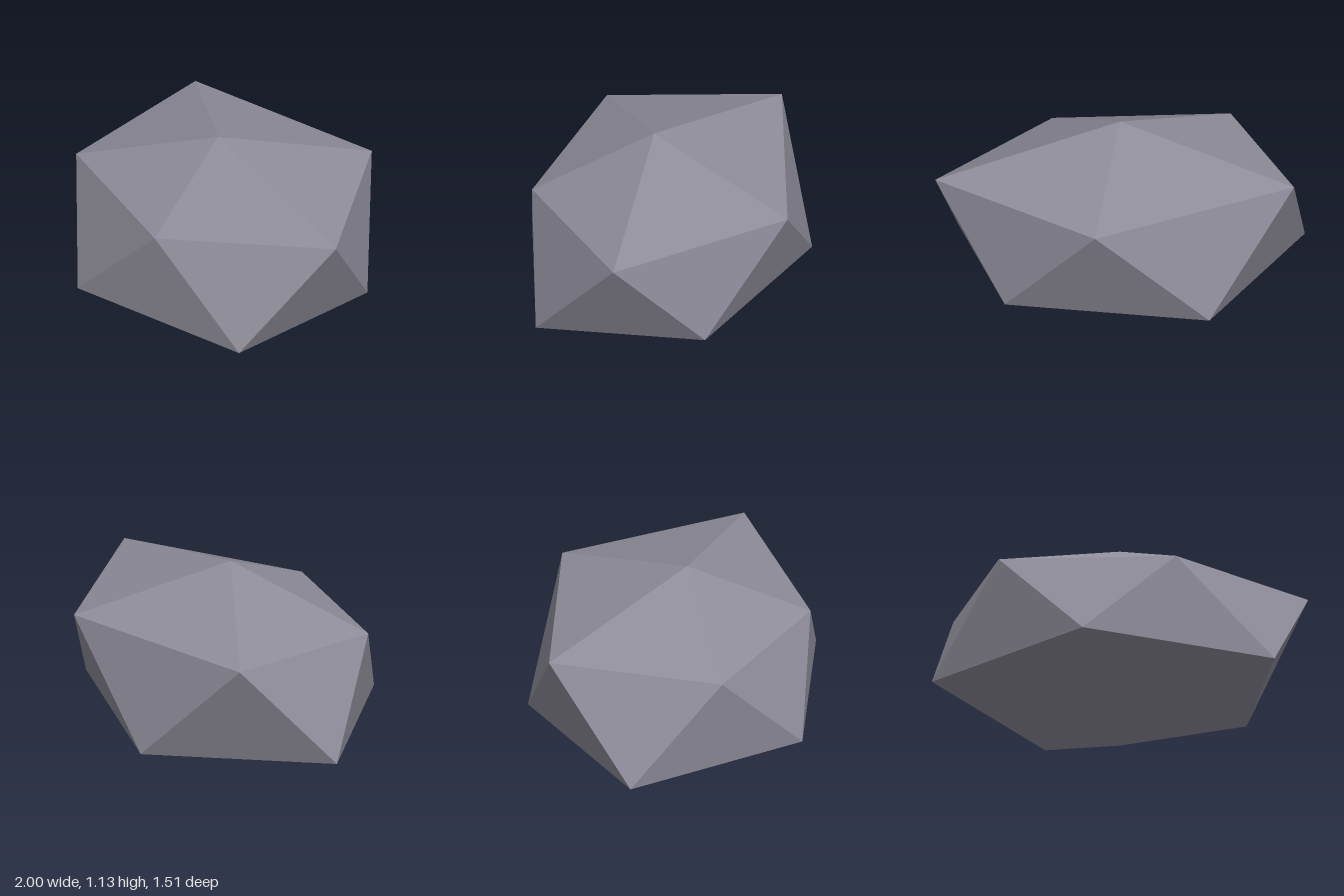
import * as THREE from 'three';

export function createModel() {
  const stone = new THREE.MeshStandardMaterial({ color: 0x8f8d9a, flatShading: true });
  stone.name = 'stone grey';

  // Two staggered rings of five corners, closed by a top and a bottom point
  const top = [0, 1.13, 0.03];
  const bottom = [0, 0, 0.03];
  const upper = [[-0.69, 0.86, 0.44], [0.23, 0.835, 0.64], [1, 0.9, 0.03], [0.31, 0.9, -0.76], [-0.83, 0.91, -0.475]];
  const lower = [[-0.28, 0.34, 0.755], [0.77, 0.33, 0.5], [0.72, 0.35, -0.405], [-0.31, 0.32, -0.755], [-1, 0.32, 0.03]];

  // Each fifth of the rock: a cap facet, two side facets and a base facet
  const points = [];
  for (let i = 0; i < 5; i++) {
    const j = (i + 1) % 5;
    points.push(
      top, upper[i], upper[j],
      upper[i], lower[i], upper[j],
      lower[i], lower[j], upper[j],
      lower[j], lower[i], bottom
    );
  }
  const geometry = new THREE.BufferGeometry();
  geometry.setAttribute('position', new THREE.Float32BufferAttribute(points.flat(), 3));
  geometry.computeVertexNormals();

  const rock = new THREE.Mesh(geometry, stone);
  rock.name = 'rock';
  const model = new THREE.Group();
  model.name = 'boulder';
  model.add(rock);
  return model;
}
